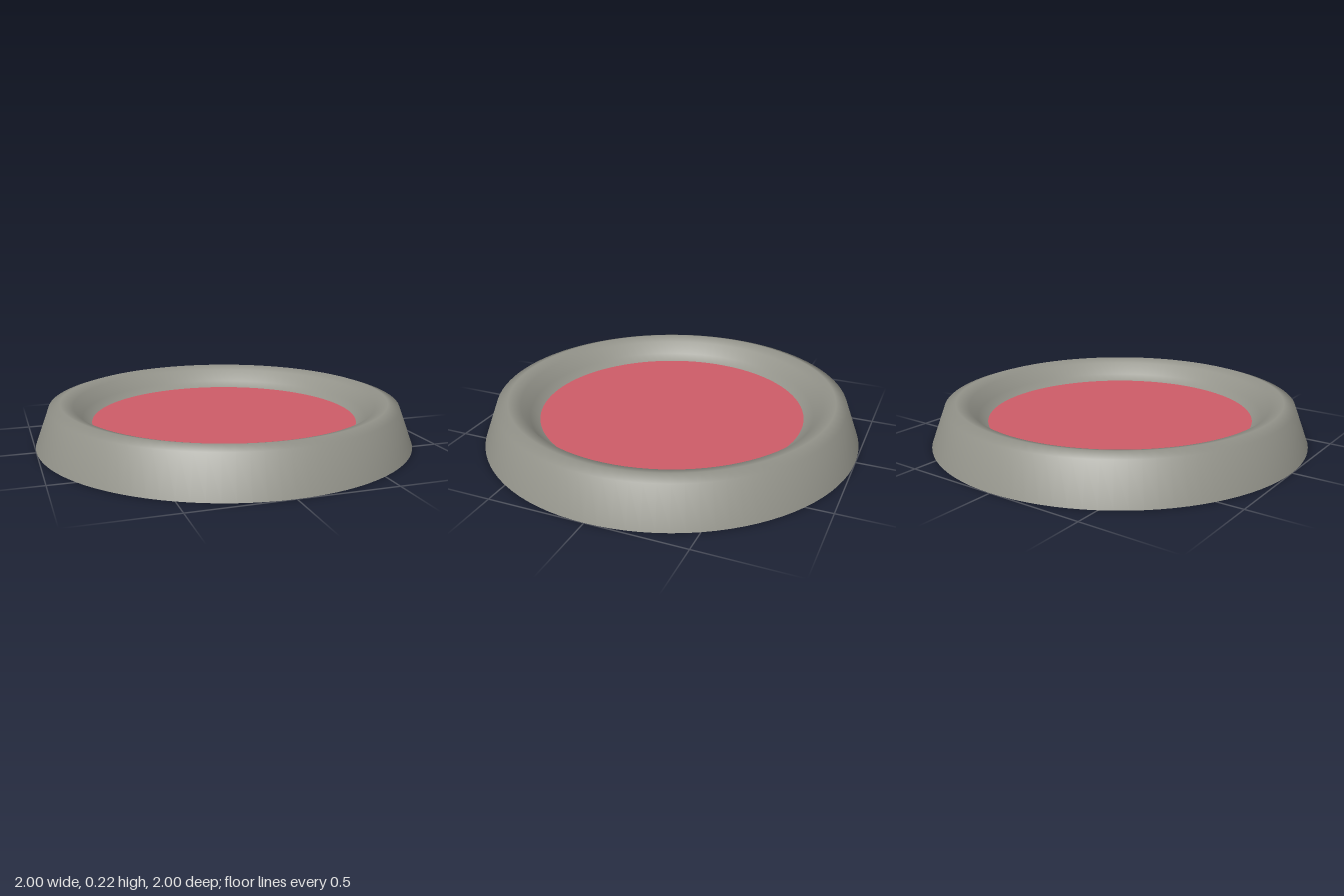
import * as THREE from 'three';

export function createModel() {
  const model = new THREE.Group();
  model.name = 'roundButton';

  const rimGrey = new THREE.MeshStandardMaterial({ color: 0x94948b, side: THREE.DoubleSide });
  rimGrey.name = 'rimGrey';
  const padRed = new THREE.MeshStandardMaterial({ color: 0xcf5d69, side: THREE.DoubleSide });
  padRed.name = 'padRed';

  const segments = 96;
  const padRadius = 0.706;
  const padHeight = 0.107;

  // Hollow rim: sloped outer wall, rounded crest, dished inner wall, open underneath
  const profile = [
    [1, 0], [0.925, 0.2], [0.865, 0.22], [0.8, 0.2], [0.755, 0.137], [padRadius, padHeight],
  ].map(([r, y]) => new THREE.Vector2(r, y));
  const rim = new THREE.Mesh(new THREE.LatheGeometry(profile, segments), rimGrey);
  rim.name = 'rim';
  model.add(rim);

  // Flat pad closing the middle
  const pad = new THREE.Mesh(new THREE.CircleGeometry(padRadius, segments).rotateX(-Math.PI / 2), padRed);
  pad.name = 'pad';
  pad.position.y = padHeight;
  model.add(pad);

  return model;
}
